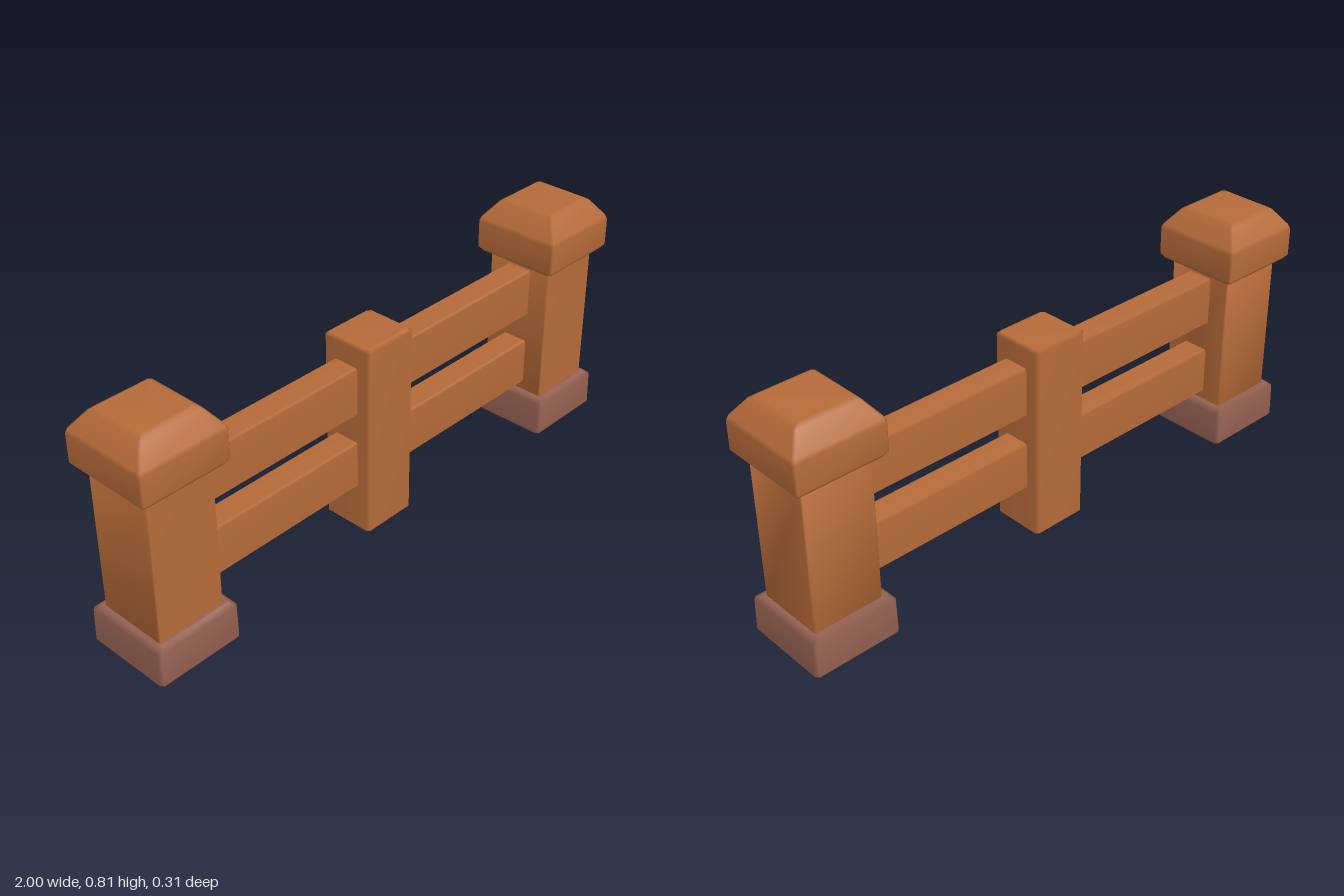
import * as THREE from 'three';

// Stacks rounded rectangles [y, halfX, halfZ] into a solid. Shared vertices give
// area-weighted normals: large faces stay flat and the bevels shade softly.
function loft(sections, bevel) {
  const pos = [], index = [], n = 8;
  for (const [y, hx, hz] of sections) {
    for (let k = 0; k < 4; k++) {
      const sx = k === 0 || k === 3 ? 1 : -1, sz = k < 2 ? 1 : -1;
      for (let j = 0; j < 2; j++) {
        const a = (k + j) * Math.PI / 2;
        pos.push(sx * (hx - bevel) + bevel * Math.cos(a), y, sz * (hz - bevel) + bevel * Math.sin(a));
      }
    }
  }
  for (let s = 0; s < sections.length - 1; s++) {
    for (let i = 0; i < n; i++) {
      const a = s * n + i, b = s * n + (i + 1) % n;
      index.push(a, a + n, b, b, a + n, b + n);
    }
  }
  const top = (sections.length - 1) * n;
  for (let i = 1; i < n - 1; i++) {
    index.push(0, i, i + 1, top, top + i + 1, top + i);
  }
  const g = new THREE.BufferGeometry();
  g.setAttribute('position', new THREE.Float32BufferAttribute(pos, 3));
  g.setIndex(index);
  g.computeVertexNormals();
  return g;
}

// Box with bevelled edges between two heights
function beam(y0, y1, hx, hz, b) {
  return loft([
    [y0, hx - b, hz - b], [y0 + b, hx, hz],
    [y1 - b, hx, hz], [y1, hx - b, hz - b],
  ], b);
}

export function createModel() {
  const wood = new THREE.MeshStandardMaterial({ color: 0xb56a38 });
  wood.name = 'wood';
  const base = new THREE.MeshStandardMaterial({ color: 0x925f50 });
  base.name = 'base brown';

  const model = new THREE.Group();
  model.name = 'fence';
  const add = (parent, name, geometry, material) => {
    const mesh = new THREE.Mesh(geometry, material);
    mesh.name = name;
    parent.add(mesh);
    return mesh;
  };

  // End posts: foot, shaft and sloped cap
  const foot = loft([
    [0, 0.135, 0.135], [0.004, 0.143, 0.143], [0.014, 0.149, 0.149],
    [0.124, 0.147, 0.147], [0.138, 0.131, 0.131],
  ], 0.01);
  const shaft = loft([[0.12, 0.118, 0.118], [0.63, 0.118, 0.118]], 0.005);
  const cap = loft([
    [0.611, 0.118, 0.118], [0.619, 0.14, 0.14], [0.636, 0.153, 0.153],
    [0.728, 0.153, 0.153], [0.742, 0.148, 0.148],
    [0.797, 0.107, 0.107], [0.806, 0.092, 0.092],
  ], 0.007);
  for (const [side, name] of [[1, 'leftPost'], [-1, 'rightPost']]) {
    const post = new THREE.Group();
    post.name = name;
    post.position.x = side * 0.847;
    add(post, 'foot', foot, base).position.x = -side * 0.002;
    add(post, 'shaft', shaft, wood);
    add(post, 'cap', cap, wood);
    model.add(post);
  }

  // Middle post and the two rails running through it
  add(model, 'middlePost', beam(0, 0.67, 0.1, 0.092, 0.01), wood);
  add(model, 'lowerRail', beam(0.165, 0.33, 0.8, 0.047, 0.006), wood);
  add(model, 'upperRail', beam(0.43, 0.597, 0.8, 0.047, 0.006), wood);

  return model;
}
